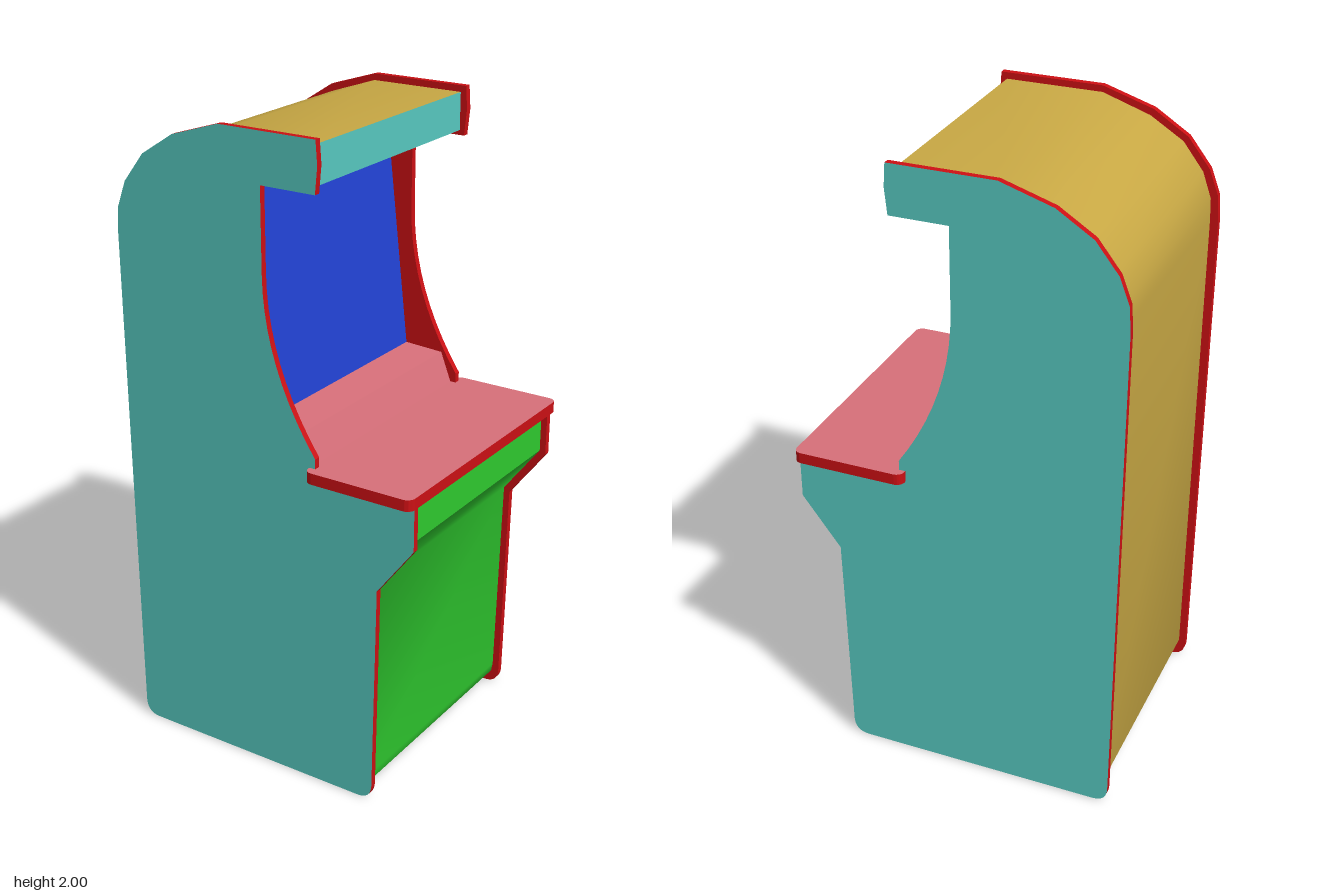
import * as THREE from 'three';
import { toCreasedNormals } from 'three/addons/utils/BufferGeometryUtils.js';

const HALF = 0.385;   // half the width between the side panels
const THICK = 0.02;   // side panel thickness

const paint = (color) => new THREE.MeshStandardMaterial({ color });
const teal = paint(0x57c9c0);
const red = paint(0xcc1014);
const gold = paint(0xc8a844);
const green = paint(0x2fca2f);
const blue = paint(0x2242d4);
const pink = paint(0xd8707a);

// Side outline, counter-clockwise from the bottom back
function sideShape() {
  const s = new THREE.Shape();
  s.moveTo(-0.45, 0);
  s.lineTo(0.32, 0);
  s.quadraticCurveTo(0.37, 0, 0.372, 0.05);
  s.lineTo(0.385, 0.72);
  s.lineTo(0.505, 0.88);
  s.lineTo(0.505, 1.03);
  s.lineTo(0.175, 1.04);
  s.lineTo(0.175, 1.08);
  s.quadraticCurveTo(0, 1.33, 0, 1.6);
  s.lineTo(0, 1.85);
  s.lineTo(0.18, 1.85);
  for (const [x, y] of [[0.188, 1.93], [0.183, 2], [-0.14, 2], [-0.3, 1.95], [-0.41, 1.88],
    [-0.48, 1.79], [-0.51, 1.71], [-0.515, 1.63], [-0.5, 0.05]]) s.lineTo(x, y);
  s.quadraticCurveTo(-0.498, 0, -0.45, 0);
  return s;
}

// Flat board whose two faces and rim can differ in colour
function board(name, shape, depth, backMat, frontMat, rimMat) {
  const raw = new THREE.ExtrudeGeometry(shape, { depth, bevelEnabled: false, curveSegments: 10 });
  const [caps, rim] = raw.groups.map((g) => ({ ...g }));
  raw.clearGroups();
  raw.addGroup(0, caps.count / 2, 0);
  raw.addGroup(caps.count / 2, caps.count / 2, 1);
  raw.addGroup(rim.start, rim.count, 2);
  const mesh = new THREE.Mesh(toCreasedNormals(raw, Math.PI / 6), [backMat, frontMat, rimMat]);
  mesh.name = name;
  return mesh;
}

// Sheet that follows a profile and spans between the side panels
function sheet(name, profile, material) {
  const pos = [];
  for (let i = 0; i < profile.length - 1; i++) {
    const [[x0, y0], [x1, y1]] = [profile[i], profile[i + 1]];
    const a = [x0, y0, HALF], b = [x0, y0, -HALF], c = [x1, y1, -HALF], d = [x1, y1, HALF];
    pos.push(...a, ...b, ...c, ...a, ...c, ...d);
  }
  const geo = new THREE.BufferGeometry();
  geo.setAttribute('position', new THREE.Float32BufferAttribute(pos, 3));
  const mesh = new THREE.Mesh(toCreasedNormals(geo, Math.PI / 5), material);
  mesh.name = name;
  return mesh;
}

// Rounded rectangle for the control deck
function deckShape(x0, x1, h, r) {
  const s = new THREE.Shape();
  s.absarc(x1 - r, -h + r, r, -Math.PI / 2, 0);
  s.absarc(x1 - r, h - r, r, 0, Math.PI / 2);
  s.absarc(x0 + r, h - r, r, Math.PI / 2, Math.PI);
  s.absarc(x0 + r, -h + r, r, Math.PI, Math.PI * 1.5);
  s.closePath();
  return s;
}

export function createModel() {
  const model = new THREE.Group();
  model.name = 'arcadeCabinet';

  // Side panels: coloured outer face, red inner face and rim
  const leftPanel = board('sidePanelA', sideShape(), THICK, red, teal, red);
  leftPanel.position.z = HALF;
  const rightPanel = board('sidePanelB', sideShape(), THICK, teal, red, red);
  rightPanel.position.z = -HALF - THICK;
  model.add(leftPanel, rightPanel);

  // Control deck
  const deck = board('controlDeck', deckShape(0.155, 0.51, 0.435, 0.025), 0.035, red, pink, red);
  deck.rotation.x = -Math.PI / 2;
  deck.position.y = 1.015;
  model.add(deck);

  // Body between the panels, followed around the profile
  model.add(
    sheet('frontPanel', [[0.31, 0.02], [0.33, 0.025], [0.345, 0.04], [0.35, 0.07],
      [0.365, 0.73], [0.485, 0.89], [0.485, 1.02]], green),
    sheet('screenLedge', [[0.158, 1.045], [0.12, 1.143], [-0.01, 1.15]], pink),
    sheet('screen', [[-0.01, 1.15], [-0.09, 1.865]], blue),
    sheet('canopyUnderside', [[-0.09, 1.865], [0.165, 1.865]], gold),
    sheet('marquee', [[0.165, 1.865], [0.165, 1.98]], teal),
    sheet('topBackAndBase', [[0.165, 1.98], [-0.14, 1.98], [-0.29, 1.93], [-0.395, 1.865],
      [-0.46, 1.78], [-0.488, 1.7], [-0.49, 1.63], [-0.478, 0.06], [-0.465, 0.03],
      [-0.44, 0.02], [0.31, 0.02]], gold),
  );
  return model;
}
